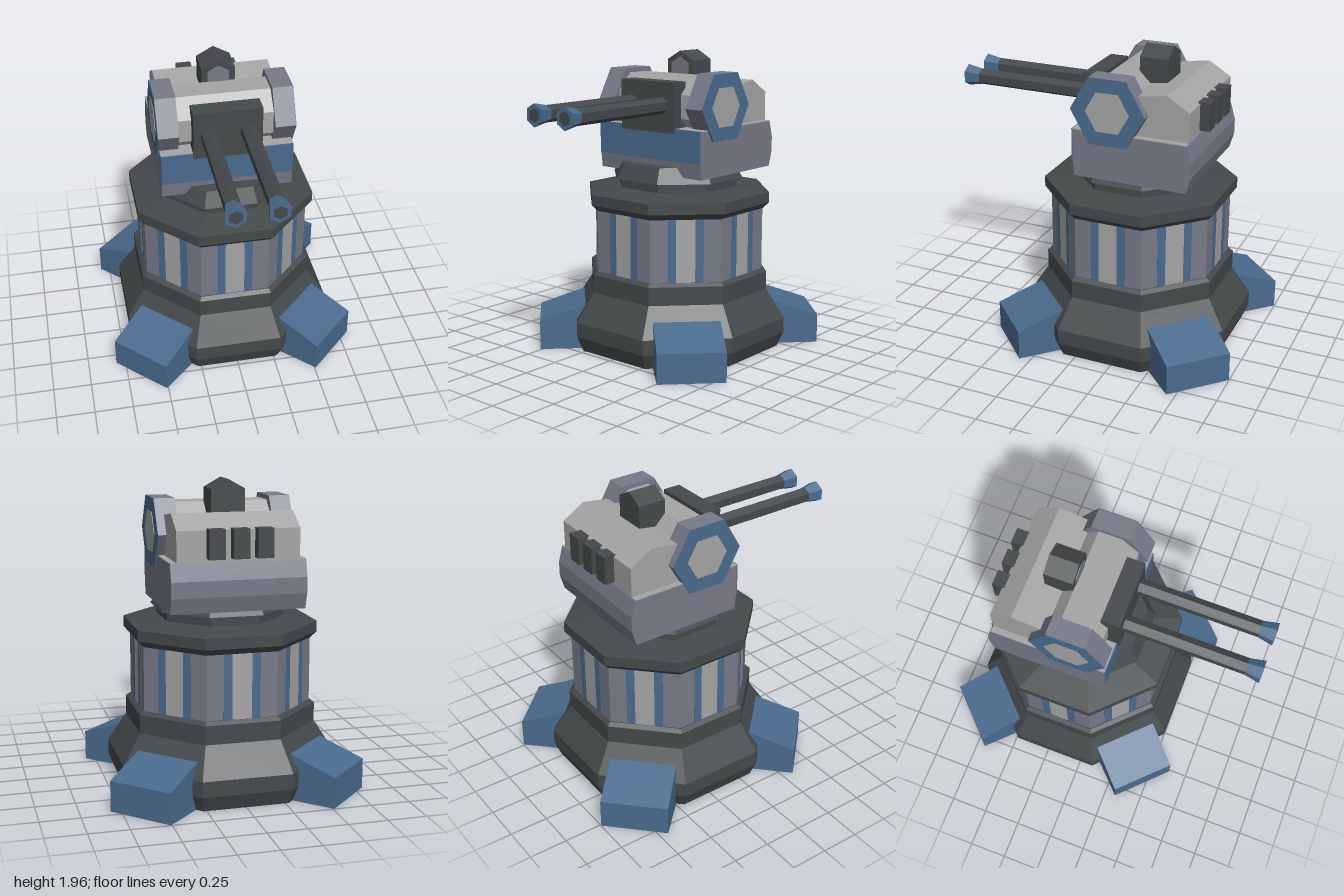
import * as THREE from 'three';

const mat = (name, color) => {
  const m = new THREE.MeshStandardMaterial({ color });
  m.name = name;
  return m;
};

export function createModel() {
  const dark = mat('darkMetal', 0x44494b);
  const blue = mat('blue', 0x4a6b8e);
  const light = mat('lightGrey', 0xa5a5a6);
  const grey = mat('slateGrey', 0x777a88);
  const model = new THREE.Group();
  const CZ = -0.185; // axis of the tower

  // faceted mesh
  const add = (name, geo, material, parent = model) => {
    const g = geo.index ? geo.toNonIndexed() : geo;
    g.computeVertexNormals();
    const mesh = new THREE.Mesh(g, material);
    mesh.name = name;
    parent.add(mesh);
    return mesh;
  };
  const box = (name, x0, x1, y0, y1, z0, z1, m, parent) =>
    add(name, new THREE.BoxGeometry(x1 - x0, y1 - y0, z1 - z0)
      .translate((x0 + x1) / 2, (y0 + y1) / 2, (z0 + z1) / 2), m, parent);
  // octagonal solid from [apothem, y] pairs, bottom to top
  const octagon = (name, profile, m) => {
    const pts = profile.map(([r, y]) => new THREE.Vector2(r / Math.cos(Math.PI / 8), y));
    add(name, new THREE.LatheGeometry(pts, 8, Math.PI / 8).translate(0, 0, CZ), m);
  };
  // side profile of [z, y] pairs extruded from x0 to x1
  const sideProfile = (name, pts, x0, x1, m, parent) => {
    const shape = new THREE.Shape(pts.map(([z, y]) => new THREE.Vector2(-z, y)));
    const g = new THREE.ExtrudeGeometry(shape, { depth: x1 - x0, bevelEnabled: false });
    return add(name, g.translate(0, 0, x0).rotateY(Math.PI / 2), m, parent);
  };
  const polygon = (n, r, z, y, start = 0) => Array.from({ length: n }, (_, i) => {
    const a = start + (i / n) * Math.PI * 2;
    return [z + r * Math.cos(a), y + r * Math.sin(a)];
  });

  // tower
  octagon('base', [[0, 0], [0.65, 0], [0.69, 0.1], [0.69, 0.2], [0.575, 0.39],
    [0.575, 0.51], [0.55, 0.53], [0, 0.53]], dark);
  octagon('tower', [[0, 0.52], [0.543, 0.52], [0.543, 0.95], [0, 0.95]], grey);
  octagon('collar', [[0, 0.94], [0.545, 0.94], [0.582, 0.98], [0.582, 1.05],
    [0.39, 1.08], [0, 1.08]], dark);
  octagon('neck', [[0, 1.07], [0.38, 1.07], [0.38, 1.14], [0.415, 1.14],
    [0.365, 1.24], [0, 1.24]], dark);

  // striped panels on each face of the tower
  for (let i = 0; i < 8; i++) {
    const panel = new THREE.Group();
    panel.name = 'towerPanel';
    panel.position.z = CZ;
    panel.rotation.y = (i * Math.PI) / 4;
    box('panelCentre', -0.062, 0.062, 0.53, 0.94, 0.54, 0.546, light, panel);
    for (const s of [-1, 1]) {
      const [a, b] = [s * 0.062, s * 0.116];
      box('panelStripe', Math.min(a, b), Math.max(a, b), 0.53, 0.94, 0.54, 0.546, blue, panel);
    }
    model.add(panel);
  }

  // four diagonal feet
  for (let i = 0; i < 4; i++) {
    const foot = sideProfile('foot', [[0.935, 0], [0.935, 0.195], [0.625, 0.3], [0.5, 0.3], [0.5, 0]]
      .reverse(), -0.215, 0.215, blue);
    foot.position.z = CZ;
    foot.rotation.y = Math.PI / 4 + (i * Math.PI) / 2;
  }

  // turret head
  const head = new THREE.Group();
  head.name = 'head';
  model.add(head);
  sideProfile('lowerHull', [[0.105, 1.485], [0.105, 1.28], [0.095, 1.18], [-0.645, 1.18],
    [-0.675, 1.28], [-0.675, 1.38], [-0.645, 1.485]], -0.425, 0.425, grey, head);
  box('frontPlate', -0.425, 0.425, 1.28, 1.49, 0.104, 0.111, blue, head);
  box('deckPlate', -0.425, 0.425, 1.484, 1.491, -0.645, 0.104, light, head);
  sideProfile('upperHull', [[-0.1, 1.48], [-0.645, 1.48], [-0.645, 1.68], [-0.5, 1.77],
    [-0.1, 1.71]], -0.385, 0.385, light, head);
  sideProfile('gunDrum', polygon(8, 0.185 / Math.cos(Math.PI / 8), -0.135, 1.625, Math.PI / 8),
    -0.32, 0.32, light, head);

  // hexagonal side caps
  for (const s of [-1, 1]) {
    const slab = (name, r, a, b, m) => sideProfile(name, polygon(6, r, -0.135, 1.625),
      Math.min(s * a, s * b), Math.max(s * a, s * b), m, head);
    slab('sideCap', 0.247, 0.305, 0.434, grey);
    slab('sideCapFace', 0.247, 0.434, 0.439, blue);
    slab('sideCapInlay', 0.145, 0.437, 0.442, light);
  }

  // gun shield and twin barrels
  box('gunShield', -0.22, 0.22, 1.46, 1.785, 0.005, 0.125, dark, head);
  for (const x of [-0.127, 0.127]) {
    const tube = (name, r0, r1, z0, z1, m) => add(name,
      new THREE.CylinderGeometry(r1, r0, z1 - z0, 6).rotateX(Math.PI / 2)
        .translate(x, 1.635, (z0 + z1) / 2), m, head);
    tube('barrel', 0.053, 0.053, 0.1, 0.91, dark);
    tube('muzzle', 0.053, 0.072, 0.9, 0.998, blue);
    tube('bore', 0.045, 0.045, 0.994, 1, dark);
  }

  // ridged sight on the roof
  const gable = (name, w, y0, eave, ridge, z0, z1, m) => {
    const shape = new THREE.Shape([[-w, y0], [w, y0], [w, eave], [0, ridge], [-w, eave]]
      .map(([x, y]) => new THREE.Vector2(x, y)));
    add(name, new THREE.ExtrudeGeometry(shape, { depth: z1 - z0, bevelEnabled: false })
      .translate(0, 0, z0), m, head);
  };
  gable('sight', 0.108, 1.7, 1.9, 1.96, -0.4, -0.212, dark);
  gable('sightLens', 0.07, 1.78, 1.88, 1.92, -0.214, -0.207, grey);

  // rear vents
  for (const x of [-0.15, 0, 0.15])
    box('rearVent', x - 0.05, x + 0.05, 1.51, 1.69, -0.71, -0.63, dark, head);

  return model;
}
